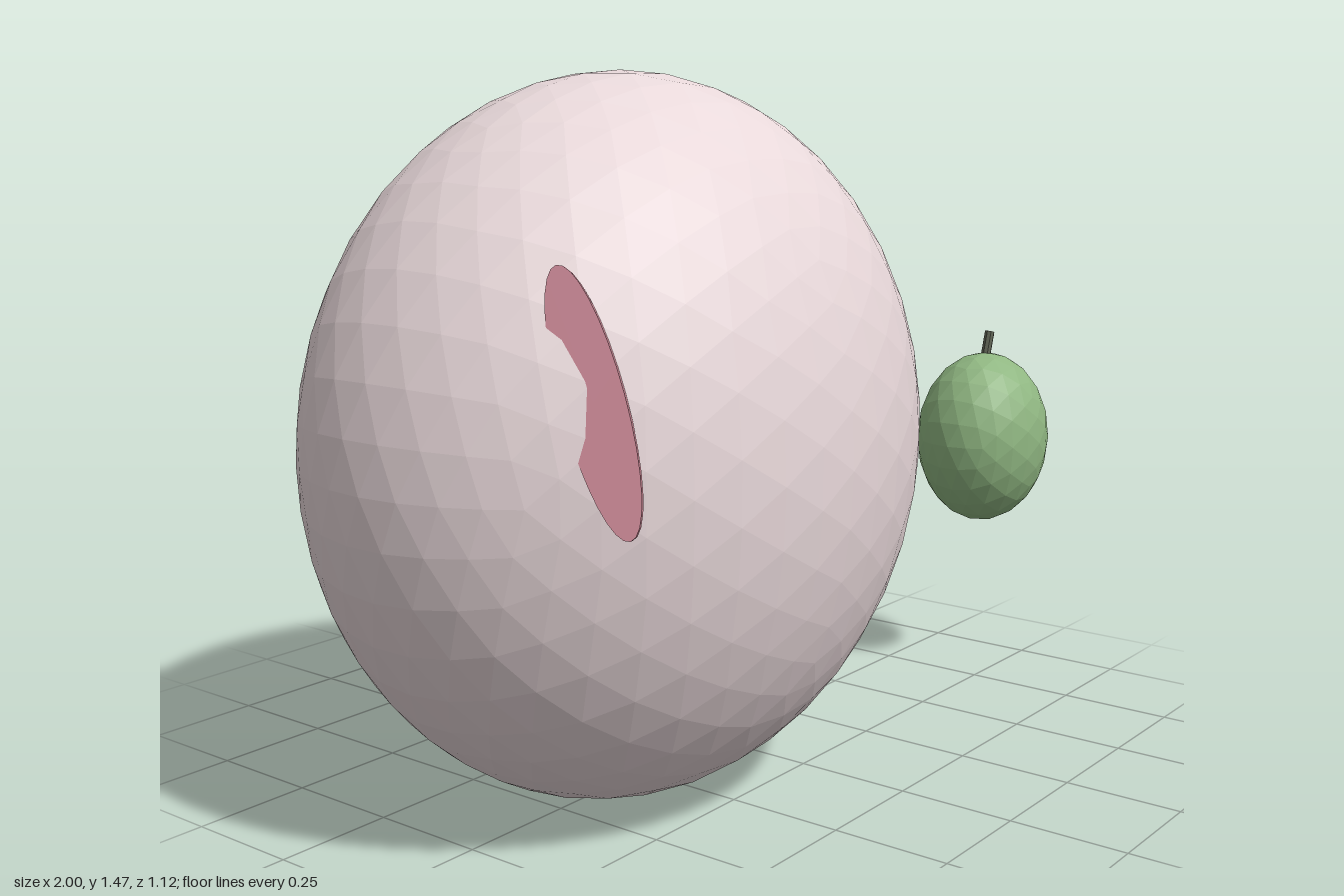
import * as THREE from 'three';

const facet = (color) => new THREE.MeshStandardMaterial({ color, flatShading: true });

// Faceted ellipsoid with given centre and radii
function ellipsoid(name, detail, centre, radii, material) {
  const mesh = new THREE.Mesh(new THREE.IcosahedronGeometry(1, detail), material);
  mesh.name = name;
  mesh.position.set(...centre);
  mesh.scale.set(...radii);
  return mesh;
}

export function createModel() {
  const model = new THREE.Group();

  // Large pale body
  model.add(ellipsoid('body', 7, [-0.295, 0.735, 0], [0.705, 0.735, 0.56], facet(0xe8d8da)));

  // Thin oval patch lying against the side of the body
  const patch = new THREE.Mesh(new THREE.CylinderGeometry(1, 1, 1, 32), facet(0xd08c9a));
  patch.name = 'sidePatch';
  const normal = new THREE.Vector3(-0.83, 0.19, 0.53).normalize();
  const up = new THREE.Vector3(0, 0.94, -0.33);
  up.addScaledVector(normal, -up.dot(normal)).normalize();
  const side = new THREE.Vector3().crossVectors(normal, up);
  patch.quaternion.setFromRotationMatrix(new THREE.Matrix4().makeBasis(side, normal, up));
  patch.scale.set(0.055, 0.02, 0.24);
  patch.position.set(-0.793, 0.91, 0.362);
  model.add(patch);

  // Small green fruit with a leaning stem
  const fruit = new THREE.Group();
  fruit.name = 'fruit';
  fruit.add(ellipsoid('fruitFlesh', 3, [0.822, 0.592, 0.215], [0.174, 0.21, 0.156], facet(0x90b782)));
  const stem = new THREE.Mesh(new THREE.CylinderGeometry(0.012, 0.012, 0.09, 8), facet(0x5c6152));
  stem.name = 'stem';
  stem.position.set(0.83, 0.808, 0.215);
  stem.rotation.z = -0.3;
  fruit.add(stem);
  model.add(fruit);

  return model;
}
